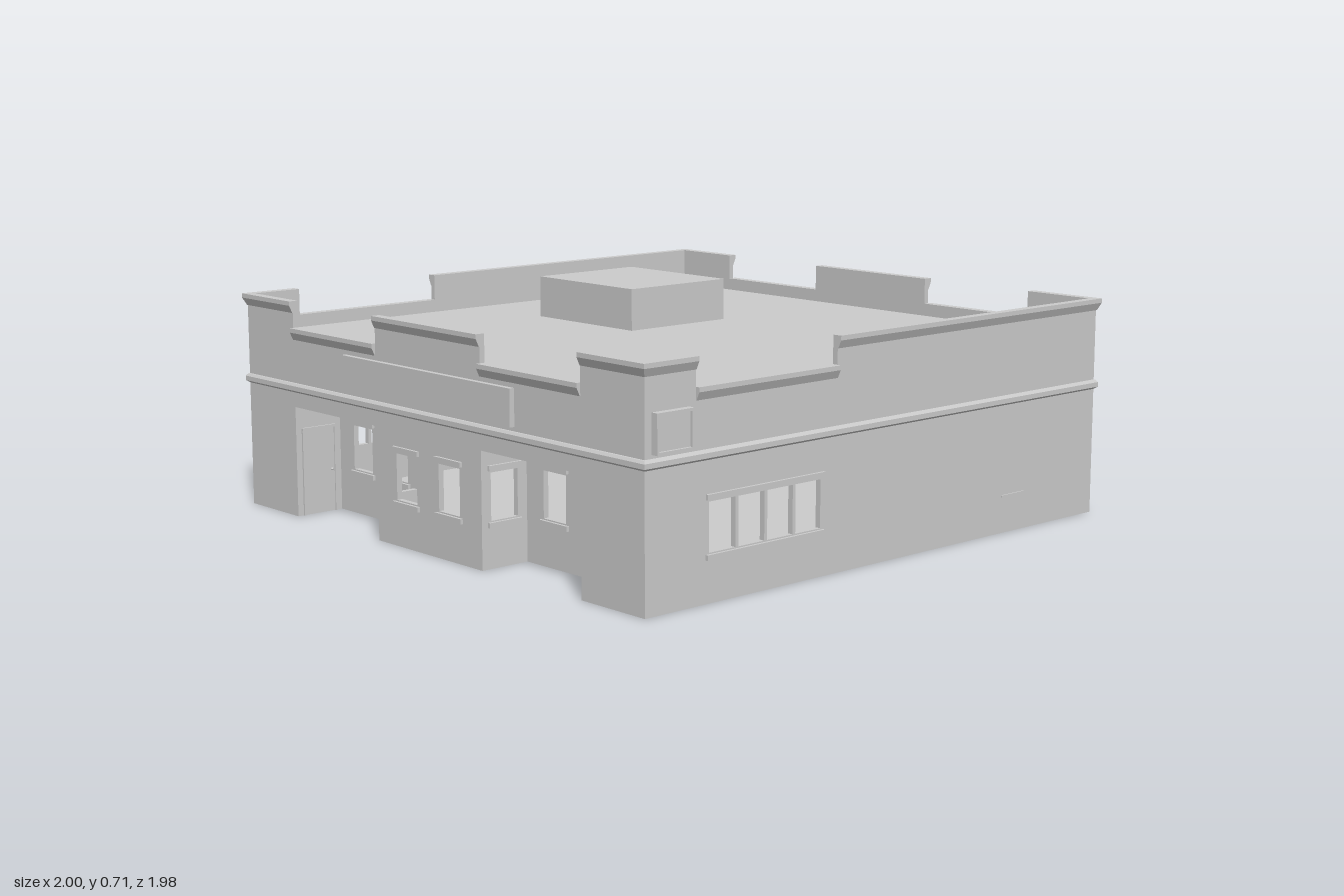
import * as THREE from 'three';

const W = 0.975;   // half width of the walls
const T = 0.018;   // wall thickness
const HIGH = 0.703, LOW = 0.617, DECK = 0.575;
const SILL = 0.145, HEAD = 0.29;
const grey = new THREE.MeshStandardMaterial({ color: 0xcccccc, side: THREE.DoubleSide });

function add(parent, name, geometry) {
  const mesh = new THREE.Mesh(geometry, grey);
  mesh.name = name;
  parent.add(mesh);
  return mesh;
}

function box(parent, name, x0, x1, y0, y1, z0, z1) {
  const mesh = add(parent, name, new THREE.BoxGeometry(x1 - x0, y1 - y0, z1 - z0));
  mesh.position.set((x0 + x1) / 2, (y0 + y1) / 2, (z0 + z1) / 2);
  return mesh;
}

const toShape = (pts) => new THREE.Shape(pts.map(([x, y]) => new THREE.Vector2(x, y)));

// A plane of construction whose local +z points out of the building
function face(parent, name, x, z, turn) {
  const group = new THREE.Group();
  group.name = name;
  group.position.set(x, 0, z);
  group.rotation.y = turn;
  parent.add(group);
  return group;
}

// Wall panel with window openings; outer face lies on local z = 0
function wall(parent, name, outline, windows = []) {
  const shape = toShape(outline);
  for (const [a, b] of windows) {
    shape.holes.push(toShape([[a, SILL], [a, HEAD], [b, HEAD], [b, SILL]]));
  }
  const geometry = new THREE.ExtrudeGeometry(shape, { depth: T, bevelEnabled: false });
  geometry.translate(0, 0, -T);
  return add(parent, name, geometry);
}

// Lintel and sill around one opening or a row of openings
function windowTrim(parent, a, b) {
  box(parent, 'windowLintel', a - 0.012, b + 0.012, HEAD + 0.006, HEAD + 0.022, -0.004, 0.009);
  box(parent, 'windowSill', a - 0.012, b + 0.012, SILL - 0.02, SILL - 0.004, -0.004, 0.009);
}

function door(parent, a, b, top) {
  box(parent, 'doorPanel', a, b, 0.004, top, -0.004, 0.002);
  box(parent, 'doorJamb', a - 0.006, a, 0, top + 0.006, -0.004, 0.006);
  box(parent, 'doorJamb', b, b + 0.006, 0, top + 0.006, -0.004, 0.006);
  box(parent, 'doorHead', a - 0.006, b + 0.006, top, top + 0.008, -0.004, 0.007);
  const knob = add(parent, 'doorKnob', new THREE.SphereGeometry(0.005, 8, 6));
  knob.position.set(b - 0.012, 0.14, 0.006);
}

// Moulding run along a face; ends that reach the building corner are mitred
function moulding(parent, name, a, b, profile) {
  const geometry = new THREE.ExtrudeGeometry(toShape(profile), { depth: b - a, bevelEnabled: false });
  const p = geometry.attributes.position;
  for (let i = 0; i < p.count; i++) {
    const out = p.getX(i);
    let along = a + p.getZ(i);
    if (Math.abs(along) > 0.95) along = Math.sign(along) * (W + out);
    p.setXYZ(i, along, p.getY(i), out);
  }
  // Swapping two axes mirrors the solid, so reverse each triangle
  for (let i = 0; i < p.count; i += 3) {
    const v1 = new THREE.Vector3().fromBufferAttribute(p, i + 1);
    const v2 = new THREE.Vector3().fromBufferAttribute(p, i + 2);
    p.setXYZ(i + 1, v2.x, v2.y, v2.z);
    p.setXYZ(i + 2, v1.x, v1.y, v1.z);
  }
  geometry.computeVertexNormals();
  add(parent, name, geometry);
}

const corniceProfile = (top) => [
  [-T, top], [0.013, top], [0.013, top - 0.014], [0.002, top - 0.038], [-T, top - 0.038],
];
const bandProfile = [[-0.004, 0.44], [0.004, 0.438], [0.01, 0.43], [0.01, 0.415], [-0.004, 0.405]];

// Complete outer side: wall with stepped parapet, cornice and string band
function facade(group, end, steps, windows, bottom) {
  const outline = [[-end, 0], ...bottom, [end, 0]];
  for (const [a, b, top] of [...steps].reverse()) {
    outline.push([Math.min(b, end), top - 0.004], [Math.max(a, -end), top - 0.004]);
  }
  wall(group, 'wall', outline, windows);
  for (const [a, b, top] of steps) moulding(group, 'parapetCornice', a, b, corniceProfile(top));
  moulding(group, 'stringBand', -W, W, bandProfile);
}

export function createModel() {
  const model = new THREE.Group();
  model.name = 'building';
  const inX = 0.26, outX = 0.71, recessZ = 0.805, recessTop = 0.36;

  // Front and back
  const steps = [
    [-W, -outX, HIGH], [-outX, -inX, LOW], [-inX, inX, HIGH], [inX, outX, LOW], [outX, W, HIGH],
  ];
  const front = face(model, 'frontSide', 0, W, 0);
  const frontWindows = [[-0.16, -0.057], [0.053, 0.156]];
  const entries = [-1, 1].flatMap((s) => {
    const [a, b] = s < 0 ? [-outX, -inX] : [inX, outX];
    return [[a, 0], [a, recessTop], [b, recessTop], [b, 0]];
  });
  facade(front, W, steps, frontWindows, entries);
  frontWindows.forEach(([a, b]) => windowTrim(front, a, b));
  box(front, 'frontSignBoard', -0.418, 0.418, 0.452, 0.565, -0.002, 0.017);

  const back = face(model, 'backSide', 0, -W, Math.PI);
  facade(back, W, steps, [], []);
  door(back, -0.608, -0.497, 0.28);

  // Two flanks; f turns a z position into the local coordinate
  for (const s of [1, -1]) {
    const side = face(model, s > 0 ? 'leftSide' : 'rightSide', s * W, 0, s * Math.PI / 2);
    const f = (z0, z1) => [-s * z0, -s * z1].sort((p, q) => p - q);
    const row = [0, 1, 2, 3].map((i) => f(0.295 + i * 0.1135, 0.397 + i * 0.1135));
    const single = f(-0.18, -0.075);
    const runs = [[-W, 0.23, HIGH], [0.23, 0.787, LOW], [0.787, W, HIGH]]
      .map(([a, b, top]) => [...f(a, b), top]).sort((p, q) => p[0] - q[0]);
    facade(side, W - T, runs, s > 0 ? row : [...row, single], []);
    windowTrim(side, ...f(0.295, 0.7375));
    if (s < 0) windowTrim(side, ...single);
    else box(side, 'wallSlot', ...f(-0.63, -0.52), 0.115, 0.122, -0.002, 0.005);

    // Framed sign near the front corner
    const [a, b] = f(0.813, 0.95);
    box(side, 'sideSignPanel', a + 0.004, b - 0.004, 0.456, 0.56, -0.002, 0.014);
    box(side, 'sideSignFrame', a, b, 0.558, 0.566, -0.002, 0.023);
    box(side, 'sideSignFrame', a, b, 0.45, 0.458, -0.002, 0.023);
    box(side, 'sideSignFrame', a, a + 0.008, 0.458, 0.558, -0.002, 0.023);
    box(side, 'sideSignFrame', b - 0.008, b, 0.458, 0.558, -0.002, 0.023);
  }

  // Recessed entries
  const depth = W - recessZ, midZ = (W + recessZ) / 2;
  const panel = (half) => [[-half, 0], [half, 0], [half, recessTop], [-half, recessTop]];
  for (const s of [-1, 1]) {
    const rear = face(model, 'entryRear', s * (inX + outX) / 2, recessZ, 0);
    const openings = [[-0.147, -0.044], [0.044, 0.147]];
    wall(rear, 'entryRearWall', panel((outX - inX) / 2), openings);
    openings.forEach(([a, b]) => windowTrim(rear, a, b));

    const inner = face(model, 'entryWindowSide', s * inX, midZ, s * Math.PI / 2);
    wall(inner, 'entryWindowWall', panel(depth / 2), [[-0.05, 0.05]]);
    windowTrim(inner, -0.05, 0.05);

    const outer = face(model, 'entryDoorSide', s * outX, midZ, -s * Math.PI / 2);
    wall(outer, 'entryDoorWall', panel(depth / 2));
    door(outer, -0.058, 0.058, 0.28);

    const mid = s * (inX + outX) / 2, half = (outX - inX) / 2;
    box(model, 'entryCeiling', mid - half, mid + half, recessTop, recessTop + 0.012, recessZ - T, W - T);
  }

  // Floor slab, cut back at the entries
  const e = W - 0.002, r = recessZ - 0.002;
  const floorShape = toShape([
    [-e, -e], [e, -e], [e, e], [outX, e], [outX, r], [inX, r], [inX, e],
    [-inX, e], [-inX, r], [-outX, r], [-outX, e], [-e, e],
  ]);
  const floor = new THREE.ExtrudeGeometry(floorShape, { depth: 0.006, bevelEnabled: false });
  floor.rotateX(Math.PI / 2);
  floor.translate(0, 0.006, 0);
  add(model, 'floor', floor);

  // Roof deck and rooftop unit
  const d = W - T;
  box(model, 'roofDeck', -d, d, DECK - 0.015, DECK, -d, d);
  box(model, 'rooftopUnit', -0.622, -0.148, DECK, 0.713, -0.39, 0.028);
  return model;
}
